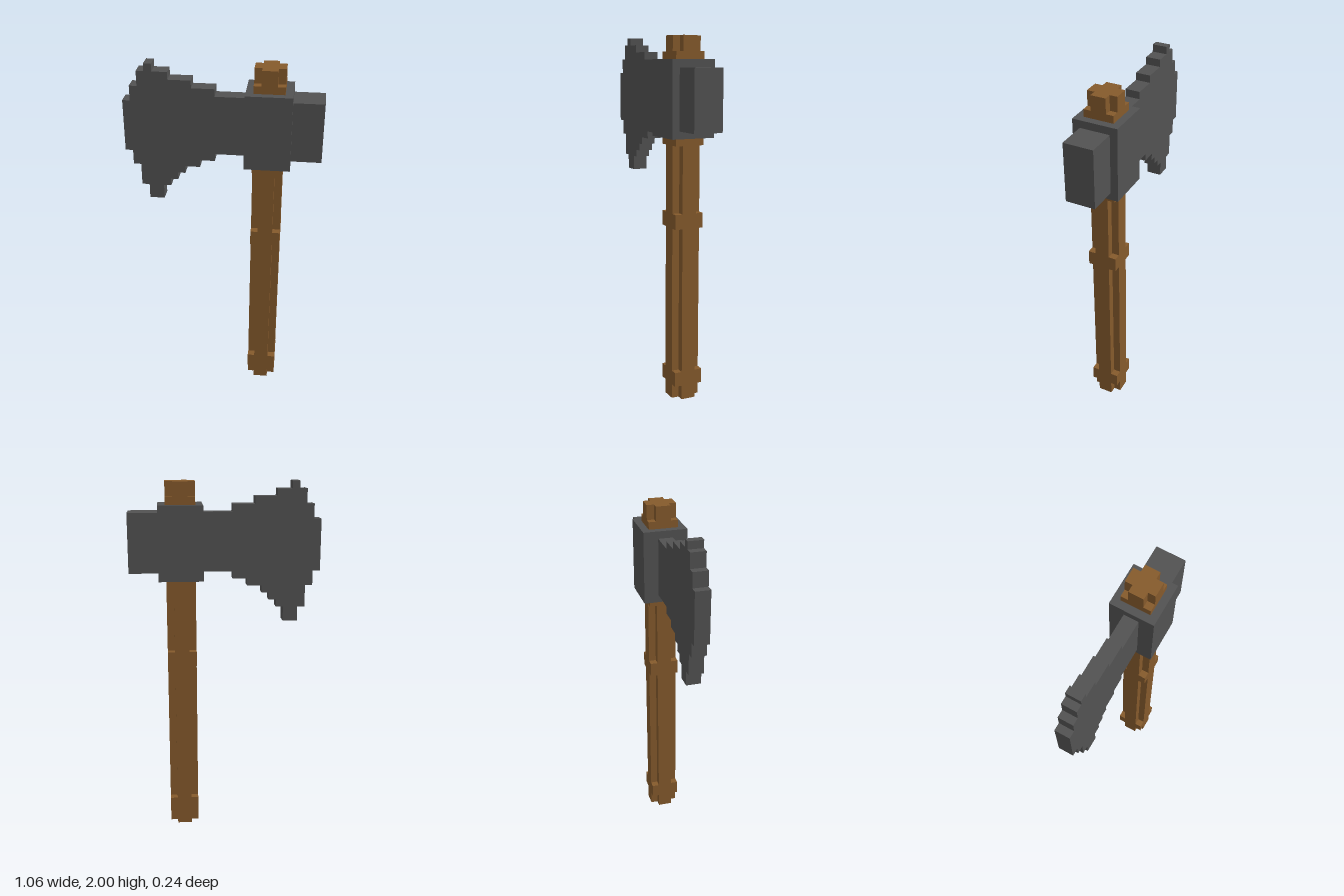
import * as THREE from 'three';

// One block of the grid; the axe is 49 blocks tall and 26 wide
const U = 2 / 49;
const CX = 13;      // grid column at x = 0
const HANDLE = 19;  // grid column of the handle's axis

const iron = new THREE.MeshStandardMaterial({ color: 0x525252 });
iron.name = 'iron';
const wood = new THREE.MeshStandardMaterial({ color: 0x855a2c });
wood.name = 'wood';

function add(parent, name, geometry, material) {
  const mesh = new THREE.Mesh(geometry, material);
  mesh.name = name;
  parent.add(mesh);
  return mesh;
}

// Box given by its grid limits
function block(parent, name, material, [x0, x1], [y0, y1], [z0, z1]) {
  const mesh = add(parent, name, new THREE.BoxGeometry((x1 - x0) * U, (y1 - y0) * U, (z1 - z0) * U), material);
  mesh.position.set(((x0 + x1) / 2 - CX) * U, ((y0 + y1) / 2) * U, ((z0 + z1) / 2) * U);
  return mesh;
}

function extrude(points, depth) {
  const shape = new THREE.Shape(points.map(([x, y]) => new THREE.Vector2(x * U, y * U)));
  return new THREE.ExtrudeGeometry(shape, { depth: depth * U, bevelEnabled: false });
}

// Staircase along a list of [end column, height], starting at column x
function stairs(x, steps) {
  const points = [];
  for (const [end, y] of steps) {
    points.push([x, y], [end, y]);
    x = end;
  }
  return points;
}

export function createModel() {
  const axe = new THREE.Group();
  axe.name = 'axe';

  // Handle: cross-shaped shaft with square bands filling its corners
  const handle = new THREE.Group();
  handle.name = 'handle';
  axe.add(handle);
  const cross = [
    [-2, -1], [-1, -1], [-1, -2], [1, -2], [1, -1], [2, -1],
    [2, 1], [1, 1], [1, 2], [-1, 2], [-1, 1], [-2, 1],
  ];
  const shaft = add(handle, 'shaft', extrude(cross, 49).rotateX(-Math.PI / 2), wood);
  shaft.position.x = (HANDLE - CX) * U;
  for (const [name, span] of [['lowerBand', [2, 4]], ['middleBand', [24, 26]], ['upperBand', [35, 47]]]) {
    const band = new THREE.Group();
    band.name = name;
    handle.add(band);
    for (const x of [HANDLE - 2, HANDLE + 1]) {
      for (const z of [-2, 1]) block(band, 'bandCorner', wood, [x, x + 1], span, [z, z + 1]);
    }
  }

  // Head: collar around the handle, poll behind it, stepped blade in front
  const head = new THREE.Group();
  head.name = 'head';
  axe.add(head);
  block(head, 'collar', iron, [16, 22], [36, 46], [-3, 3]);
  block(head, 'poll', iron, [22, 26], [37, 45], [-2, 2]);

  const bottom = stairs(0, [[1, 37], [2, 35], [3, 32], [5, 30], [6, 32], [7, 33], [8, 34], [10, 35], [12, 36], [16, 37]]);
  const top = stairs(0, [[1, 44], [2, 46], [3, 48], [4, 49], [6, 48], [9, 47], [12, 46], [16, 45]]);
  const blade = add(head, 'blade', extrude([...bottom, ...top.reverse()], 2), iron);
  blade.position.set(-CX * U, 0, -U);

  return axe;
}
